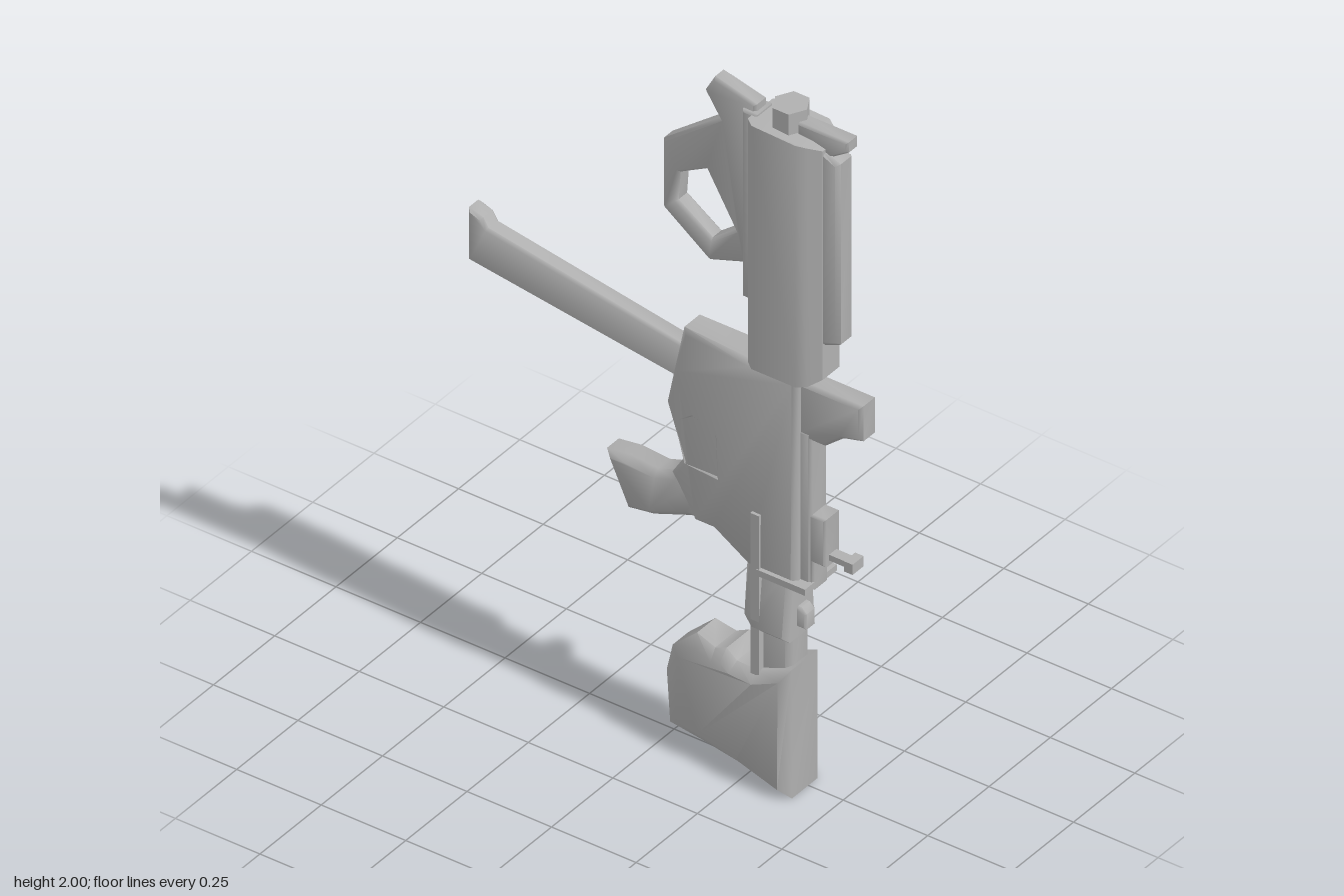
import * as THREE from 'three';
import { toCreasedNormals } from 'three/addons/utils/BufferGeometryUtils.js';

const CX = -0.015; // plane of symmetry
const metal = new THREE.MeshStandardMaterial({ color: 0xb0b0b0 });
metal.name = 'grey metal';

export function createModel() {
  const group = new THREE.Group();

  const add = (name, geometry, crease = 0.6) => {
    const mesh = new THREE.Mesh(toCreasedNormals(geometry, crease), metal);
    mesh.name = name;
    group.add(mesh);
    return mesh;
  };

  const toPoints = (list) => list.map(([a, b]) => new THREE.Vector2(a, b));

  // Side profile of [z, y] points, extruded across x with chamfered edges.
  // taper(z, y) scales the width locally.
  const profile = (name, pts, width, { bevel = 0.01, holes = [], taper, x = CX } = {}) => {
    const shape = new THREE.Shape(toPoints(pts));
    for (const h of holes) shape.holes.push(new THREE.Path(toPoints(h)));
    const depth = width - 2 * bevel;
    const g = new THREE.ExtrudeGeometry(shape, {
      depth, steps: 1, bevelEnabled: bevel > 0, bevelThickness: bevel,
      bevelSize: bevel, bevelOffset: -bevel, bevelSegments: 1,
    });
    g.translate(0, 0, -depth / 2);
    g.rotateY(-Math.PI / 2);
    if (taper) {
      const p = g.attributes.position;
      for (let i = 0; i < p.count; i++) p.setX(i, p.getX(i) * taper(p.getZ(i), p.getY(i)));
    }
    g.translate(x, 0, 0);
    return add(name, g, 0.9);
  };

  const box = (name, x, y0, y1, z0, z1, width) => {
    const g = new THREE.BoxGeometry(width, y1 - y0, z1 - z0);
    g.translate(x, (y0 + y1) / 2, (z0 + z1) / 2);
    return add(name, g);
  };

  // Upper housing: chamfered cross-section of [x, z] points running upwards
  const half = [[0.05, 0.265], [0.07, 0.29], [0.07, 0.42], [0.055, 0.445], [0.034, 0.475]];
  const section = new THREE.Shape(toPoints([...half, ...half.map(([x, z]) => [-x, z]).reverse()]));
  const housing = new THREE.ExtrudeGeometry(section, { depth: 1, bevelEnabled: false });
  housing.rotateX(Math.PI / 2);
  const hp = housing.attributes.position;
  for (let i = 0; i < hp.count; i++) {
    const z = hp.getZ(i);
    const top = 1.945 - Math.max(0, z - 0.4) * 0.25;
    const bottom = 1.23 + Math.max(0, z - 0.44) * 0.7;
    hp.setY(i, hp.getY(i) > -0.5 ? top : bottom);
  }
  housing.translate(CX, 0, 0);
  add('upperHousing', housing, 0.9);

  profile('housingRib', [[0.45, 1.93], [0.52, 1.9], [0.52, 1.37], [0.475, 1.35], [0.45, 1.35]], 0.064);
  profile('housingBackStrip', [[0.28, 1.95], [0.235, 1.95], [0.235, 1.4], [0.26, 1.4], [0.28, 1.25]], 0.07, { bevel: 0.006 });

  // Hexagonal top tube
  const tube = new THREE.CylinderGeometry(0.05, 0.05, 0.12, 6);
  tube.scale(1, 1, 0.94);
  tube.translate(CX, 1.94, 0.357);
  add('topTube', tube);

  profile('frontSight',
    [[0.54, 1.97], [0.39, 1.97], [0.39, 1.93], [0.48, 1.9], [0.54, 1.94]], 0.046, { bevel: 0.006 });

  // Looped fore handle
  profile('foreHandle', [
    [0.27, 1.97], [0.145, 2.0], [0.117, 1.95], [0.16, 1.885], [-0.006, 1.757], [-0.006, 1.556],
    [0.13, 1.456], [0.235, 1.492], [0.27, 1.49],
  ], 0.05, {
    bevel: 0.008,
    holes: [[[0.122, 1.72], [0.043, 1.677], [0.037, 1.593], [0.138, 1.524], [0.206, 1.577]]],
  });

  // Receiver with trigger opening, narrowing towards the back
  profile('receiver', [
    [0.41, 1.228], [0.27, 1.232], [0.064, 1.238], [0.037, 1.11], [0.016, 1.0], [0.065, 0.855],
    [0.03, 0.8], [0.1, 0.69], [0.16, 0.693], [0.265, 0.632], [0.41, 0.632],
  ], 0.112, {
    bevel: 0.014,
    holes: [[[0.16, 0.965], [0.1, 0.985], [0.06, 0.955], [0.085, 0.862], [0.165, 0.862]]],
    taper: (z, y) => (0.78 + 0.22 * THREE.MathUtils.smoothstep(z, 0.02, 0.25)) * (y > 1.1 ? 0.92 : 1),
  });
  profile('pistolGrip', [
    [0.16, 0.85], [0.07, 0.86], [0.032, 0.8], [-0.02, 0.783], [-0.1, 0.79], [-0.17, 0.78], [-0.106, 0.633],
    [-0.03, 0.645], [0.08, 0.687], [0.16, 0.693],
  ], 0.084, { bevel: 0.018 });

  // Angled magazine with a lipped end
  profile('magazine', [
    [0.06, 1.175], [-0.524, 1.275], [-0.54, 1.3], [-0.582, 1.313], [-0.582, 1.16], [0.06, 1.07],
  ], 0.053, { bevel: 0.008 });

  // Spine, sight block and fittings along the front of the receiver
  profile('receiverSpine', [[0.44, 1.08], [0.39, 1.08], [0.39, 0.62], [0.44, 0.62]], 0.07, { bevel: 0.008 });
  profile('upperBlock', [
    [0.588, 1.218], [0.39, 1.218], [0.39, 1.055], [0.475, 1.055], [0.53, 1.1], [0.588, 1.115],
  ], 0.066, { bevel: 0.01 });
  profile('lowerBlock', [
    [0.48, 0.84], [0.42, 0.84], [0.42, 0.62], [0.445, 0.62], [0.445, 0.7], [0.48, 0.7],
  ], 0.062, { bevel: 0.006 });
  box('lowerPin', CX, 0.715, 0.732, 0.47, 0.555, 0.03);
  box('lowerPinHead', CX, 0.708, 0.738, 0.53, 0.555, 0.045);
  box('baseFlange', CX, 0.625, 0.643, 0.3, 0.445, 0.13);

  // Side handle
  const bolt = new THREE.CylinderGeometry(0.018, 0.05, 0.06, 6);
  bolt.rotateZ(-Math.PI / 2);
  bolt.scale(1, 1.1, 0.65);
  bolt.translate(0.058, 0.925, 0.35);
  add('sideHandle', bolt);

  // Stock tube, flared collar and side rails
  profile('stockTube', [[0.385, 0.66], [0.27, 0.66], [0.27, 0.3], [0.385, 0.3]], 0.088, { bevel: 0.015 });
  profile('stockCollar', [[0.39, 0.66], [0.255, 0.66], [0.255, 0.485], [0.28, 0.455], [0.39, 0.455]], 0.13, {
    bevel: 0.014, taper: (z, y) => 1 - Math.max(0, y - 0.47) * 1.6,
  });
  for (const s of [-1, 1]) box('sideRail', CX + s * 0.053, 0.33, 0.8, 0.282, 0.307, 0.02);
  profile('collarKnob', [[0.415, 0.53], [0.4, 0.545], [0.37, 0.545], [0.37, 0.485], [0.415, 0.485]], 0.042, { bevel: 0.005 });

  // Butt: broad at the front, thinner towards the back edge
  profile('butt', [
    [0.397, 0.38], [0.29, 0.338], [0.233, 0.338], [0.2, 0.36], [0.164, 0.344], [0.106, 0.36],
    [0.03, 0.29], [0.012, 0.21], [0.022, 0.06], [0.12, 0.053], [0.245, 0.042], [0.397, 0.002],
  ], 0.16, {
    bevel: 0.028,
    taper: (z) => 0.6 + 0.4 * THREE.MathUtils.smoothstep(z, 0.0, 0.3),
  });

  return group;
}
